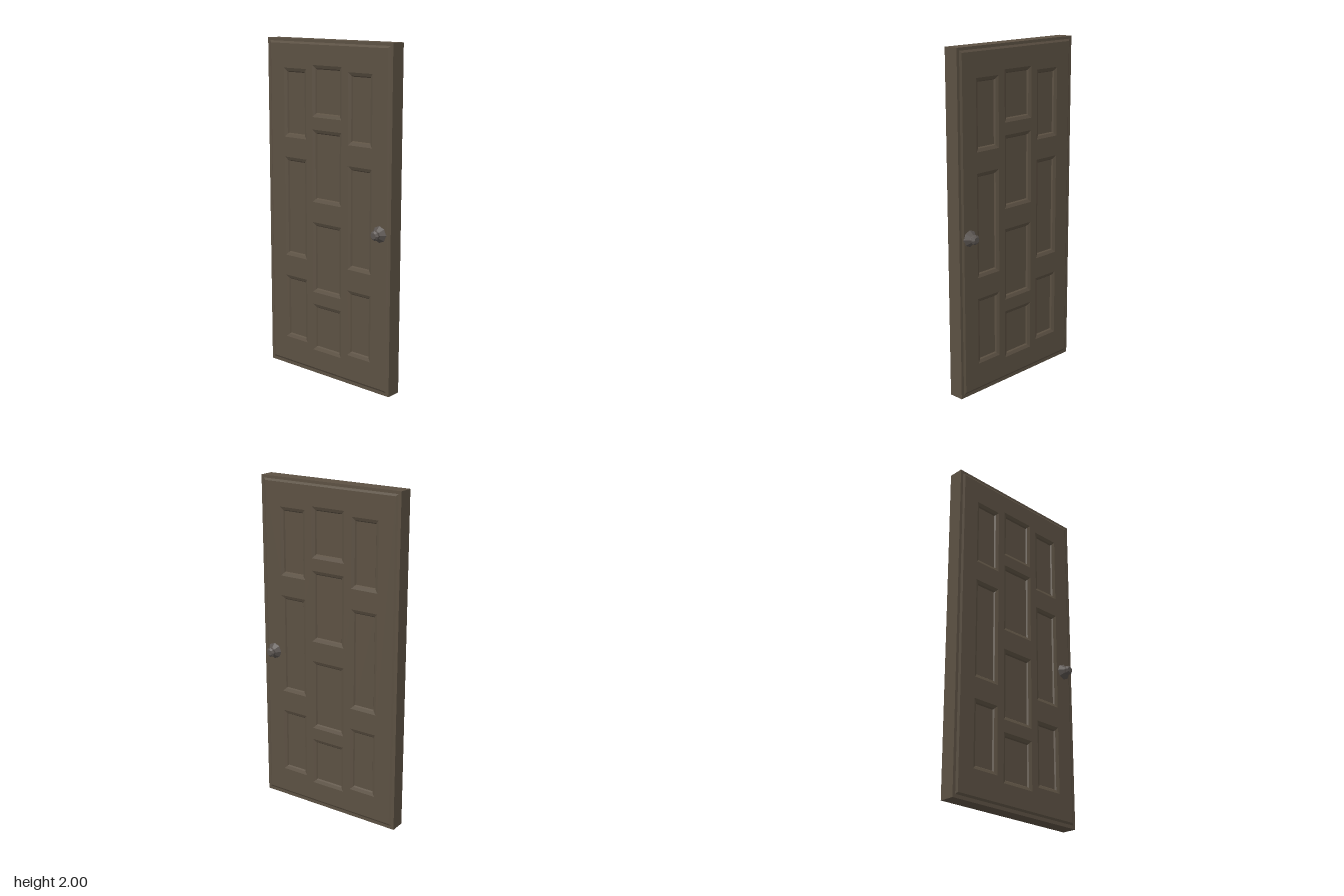
import * as THREE from 'three';

const wood = new THREE.MeshStandardMaterial({ color: 0x5c5143, flatShading: true });
const metal = new THREE.MeshStandardMaterial({ color: 0x5a5450, flatShading: true });

const CORE = 0.045, FACE = 0.052;

// Counter-clockwise corners of a rectangle, grown outward by g
const corners = ([x0, x1, y0, y1], g = 0) => [
  [x0 - g, y0 - g], [x1 + g, y0 - g], [x1 + g, y1 + g], [x0 - g, y1 + g],
];

// Sloped walls through rectangular rings [grow, z], outermost first
function rings(rect, steps, closed) {
  const pos = [];
  const quad = (a, b, c, d) => pos.push(...a, ...b, ...c, ...a, ...c, ...d);
  const loops = steps.map(([g, z]) => corners(rect, g).map(([x, y]) => [x, y, z]));
  for (let k = 0; k < loops.length - 1; k++) {
    for (let i = 0; i < 4; i++) {
      const j = (i + 1) % 4;
      quad(loops[k][i], loops[k][j], loops[k + 1][j], loops[k + 1][i]);
    }
  }
  if (closed) quad(...loops[loops.length - 1]);
  const geo = new THREE.BufferGeometry();
  geo.setAttribute('position', new THREE.Float32BufferAttribute(pos, 3));
  geo.computeVertexNormals();
  return geo;
}

const toShape = (rect, g = 0, Type = THREE.Shape) =>
  new Type(corners(rect, g).map(([x, y]) => new THREE.Vector2(x, y)));

function add(parent, name, geometry, material) {
  const mesh = new THREE.Mesh(geometry, material);
  mesh.name = name;
  parent.add(mesh);
  return mesh;
}

// Panel floors: two side columns of three, a centre column of four
const panels = [];
for (const [y0, y1] of [[0.204, 0.553], [0.727, 1.283], [1.45, 1.807]]) {
  for (const x of [-0.245, 0.245]) panels.push([x - 0.063, x + 0.063, y0, y1]);
}
for (const [y0, y1] of [[0.172, 0.415], [0.537, 0.918], [1.087, 1.465], [1.585, 1.833]]) {
  panels.push([-0.086, 0.086, y0, y1]);
}

const outer = [-0.465, 0.465, 0, 2];
const slab = [-0.435, 0.435, 0.032, 1.972];

// One moulded side of the door with its knob
function doorSide(name, knobX) {
  const side = new THREE.Group();
  side.name = name;

  add(side, 'slabBevel', rings(slab, [[0.012, CORE], [0, FACE]], false), wood);

  const face = toShape(slab);
  for (const p of panels) face.holes.push(toShape(p, 0.024, THREE.Path));
  add(side, 'slabFace', new THREE.ShapeGeometry(face), wood).position.z = FACE;

  // Gentle bevel, then a steep step to the floor
  for (const p of panels) {
    add(side, 'recessedPanel', rings(p, [[0.024, FACE], [0.006, 0.044], [0, 0.036]], true), wood);
  }

  const profile = [
    [0.05, 0.05], [0.047, 0.054], [0.025, 0.077], [0.023, 0.083],
    [0.029, 0.091], [0.028, 0.096], [0.018, 0.106], [0, 0.106],
  ].map(([r, h]) => new THREE.Vector2(r, h));
  const knob = add(side, 'doorKnob', new THREE.LatheGeometry(profile, 8), metal);
  knob.rotation.x = Math.PI / 2;
  knob.position.set(knobX, 0.95, 0);
  return side;
}

export function createModel() {
  const door = new THREE.Group();
  door.name = 'door';

  // Outer rim, open in the middle where the moulded faces sit
  const rim = toShape(outer);
  rim.holes.push(toShape(slab, 0.012, THREE.Path));
  const rimGeo = new THREE.ExtrudeGeometry(rim, { depth: 2 * CORE, bevelEnabled: false });
  rimGeo.translate(0, 0, -CORE);
  add(door, 'rim', rimGeo, wood);

  door.add(doorSide('frontSide', 0.39));
  const back = doorSide('backSide', -0.39);
  back.rotation.y = Math.PI;
  door.add(back);
  return door;
}
